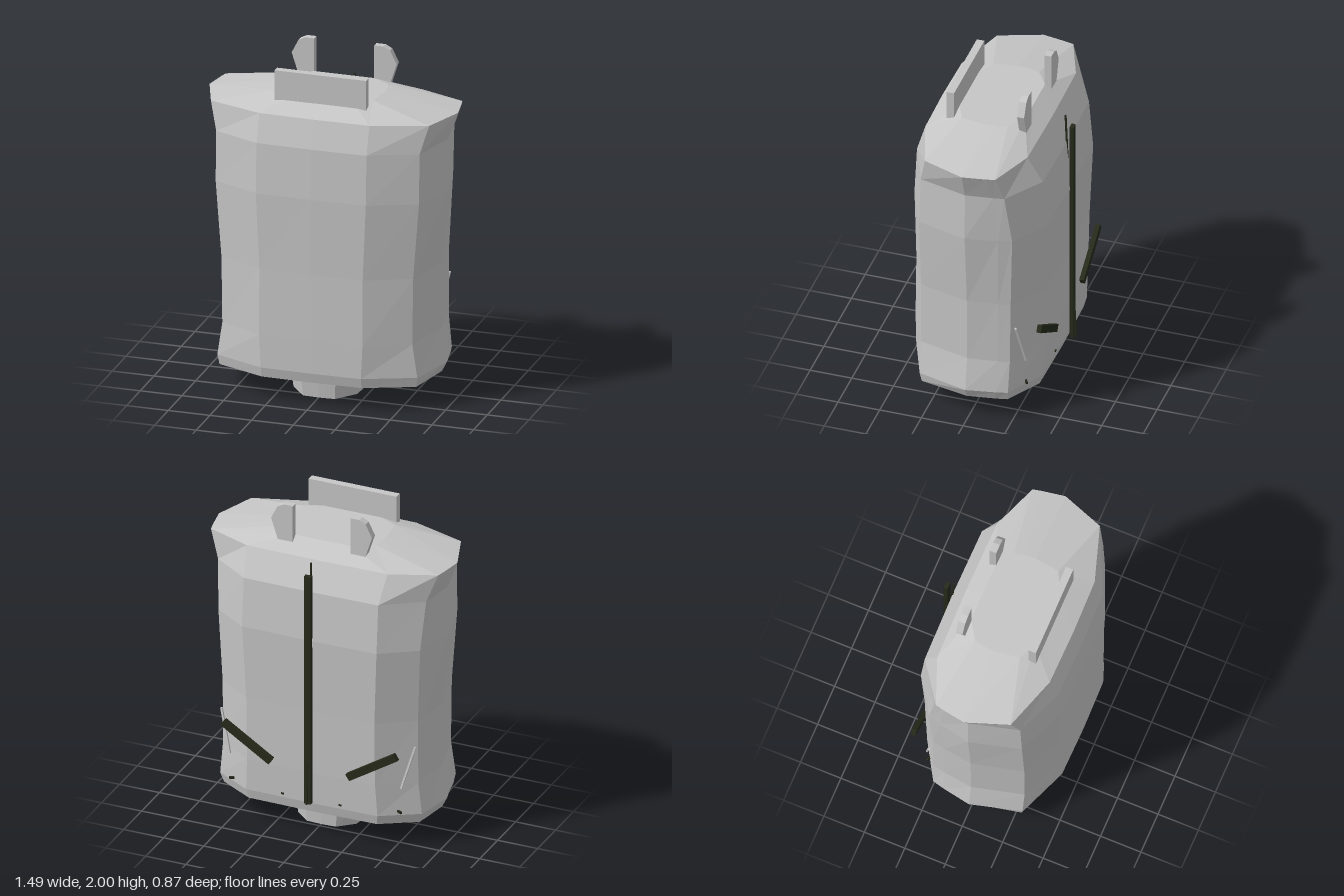
import * as THREE from 'three';

const shell = new THREE.MeshStandardMaterial({ color: 0xc6c6c6, flatShading: true });
shell.name = 'light grey shell';
const dark = new THREE.MeshStandardMaterial({ color: 0x262a1a, flatShading: true });
dark.name = 'dark olive trim';

// Mirrors half an outline (front centre, round +x, to back centre) into a closed ring.
function ring(y, half) {
  const right = half.map(([x, z]) => new THREE.Vector3(x, y, z));
  const left = half.slice(1, -1).reverse().map(([x, z]) => new THREE.Vector3(-x, y, z));
  return [...right, ...left];
}

// Skins rings from bottom to top and closes both ends.
function loft(rings) {
  const pos = [];
  const tri = (...pts) => pts.forEach((p) => pos.push(p.x, p.y, p.z));
  const n = rings[0].length;
  const middle = (r) => r.reduce((s, p) => s.add(p), new THREE.Vector3()).divideScalar(n);
  const low = rings[0], high = rings[rings.length - 1];
  const lowMid = middle(low), highMid = middle(high);
  for (let i = 0; i < n; i++) {
    const j = (i + 1) % n;
    for (let k = 0; k < rings.length - 1; k++) {
      const a = rings[k], b = rings[k + 1];
      tri(a[i], a[j], b[j]);
      tri(a[i], b[j], b[i]);
    }
    tri(lowMid, low[j], low[i]);
    tri(highMid, high[i], high[j]);
  }
  const geo = new THREE.BufferGeometry();
  geo.setAttribute('position', new THREE.Float32BufferAttribute(pos, 3));
  geo.computeVertexNormals();
  return geo;
}

export function createModel() {
  const model = new THREE.Group();
  model.name = 'backpack';

  function add(name, geo, mat, x = 0, y = 0, z = 0) {
    const mesh = new THREE.Mesh(geo, mat);
    mesh.name = name;
    mesh.position.set(x, y, z);
    model.add(mesh);
    return mesh;
  }

  // Straight bar between two points
  function bar(name, from, to, w, d, mat) {
    const a = new THREE.Vector3(...from), b = new THREE.Vector3(...to);
    const dir = b.clone().sub(a);
    const mesh = add(name, new THREE.BoxGeometry(w, dir.length(), d), mat);
    mesh.position.copy(a).add(b).multiplyScalar(0.5);
    mesh.quaternion.setFromUnitVectors(new THREE.Vector3(0, 1, 0), dir.normalize());
    return mesh;
  }

  // Body: y, front edge x and z, front corner x and z, widest x,
  // rear corner x and z, back edge x and z
  const levels = [
    [0.14, 0.30, 0.415, 0.59, 0.30, 0.65, 0.61, -0.22, 0.40, -0.345],
    [0.20, 0.30, 0.43, 0.60, 0.31, 0.68, 0.63, -0.23, 0.41, -0.36],
    [0.40, 0.31, 0.43, 0.57, 0.31, 0.645, 0.61, -0.235, 0.40, -0.37],
    [0.80, 0.31, 0.425, 0.575, 0.31, 0.65, 0.61, -0.24, 0.40, -0.38],
    [1.26, 0.33, 0.43, 0.61, 0.31, 0.69, 0.63, -0.255, 0.42, -0.395],
    [1.56, 0.33, 0.415, 0.61, 0.30, 0.685, 0.65, -0.215, 0.42, -0.37],
    [1.725, 0.33, 0.365, 0.655, 0.26, 0.745, 0.71, -0.18, 0.44, -0.285],
  ];
  const bodyRings = levels.map(([y, bx, bz, cx, cz, dx, fx, fz, gx, gz]) => ring(y, [
    [0, bz + 0.006], [bx, bz], [cx, cz], [dx, 0.01],
    [dx * 0.35 + fx * 0.65, fz * 0.7], [fx, fz], [gx, gz], [0, gz - 0.006],
  ]));
  // Raised lid closes the top
  bodyRings.push(ring(1.8, [
    [0, 0.21], [0.18, 0.21], [0.285, 0.16], [0.305, 0.01],
    [0.3, -0.06], [0.285, -0.115], [0.18, -0.185], [0, -0.185],
  ]));
  add('body', loft(bodyRings), shell);

  // Tapered foot under the body
  const foot = [[0, 0.3], [0.105, 0.295], [0.21, 0.17], [0.22, 0.0], [0.2, -0.15], [0.1, -0.235], [0, -0.24]];
  const footBottom = foot.map(([x, z]) => [x * 0.91, z * 0.95]);
  add('foot', loft([ring(0, footBottom), ring(0.15, foot)]), shell);

  // Upright plate at the front of the lid
  add('frontPlate', new THREE.BoxGeometry(0.55, 0.185, 0.045), shell, 0, 1.86, 0.233);

  // Long spine strip and thin needle down the back
  add('spineStrip', new THREE.BoxGeometry(0.042, 1.46, 0.024), dark, 0, 0.95, -0.41);
  bar('spineNeedle', [0, 1.745, -0.368], [0, 0.22, -0.43], 0.008, 0.01, dark);

  for (const s of [1, -1]) {
    const side = s > 0 ? 'left' : 'right';

    // Clipped tabs at the back of the lid
    const tab = new THREE.Shape([[0.18, 1.76], [0.27, 1.76], [0.315, 1.9], [0.275, 1.98], [0.235, 2], [0.18, 2]]
      .map(([x, y]) => new THREE.Vector2(s * x, y)));
    add(side + 'Tab', new THREE.ExtrudeGeometry(tab, { depth: 0.042, bevelEnabled: false }), shell, 0, 0, -0.223);

    // Slanted bars on the lower back
    bar(side + 'BackBar', [s * 0.24, 0.43, -0.388], [s * 0.54, 0.62, -0.388], 0.045, 0.027, dark);

    // Thin rods on the rear bevels
    bar(side + 'BevelRod', [s * 0.535, 0.38, -0.308], [s * 0.605, 0.64, -0.268], 0.012, 0.012, shell);

    // Small studs along the lower edge
    const outer = add(side + 'OuterStud', new THREE.BoxGeometry(0.05, 0.013, 0.012), dark, s * 0.515, 0.225, -0.3);
    outer.rotation.y = s * 0.53;
    add(side + 'InnerStud', new THREE.BoxGeometry(0.016, 0.01, 0.012), dark, s * 0.18, 0.225, -0.364);
  }

  return model;
}
